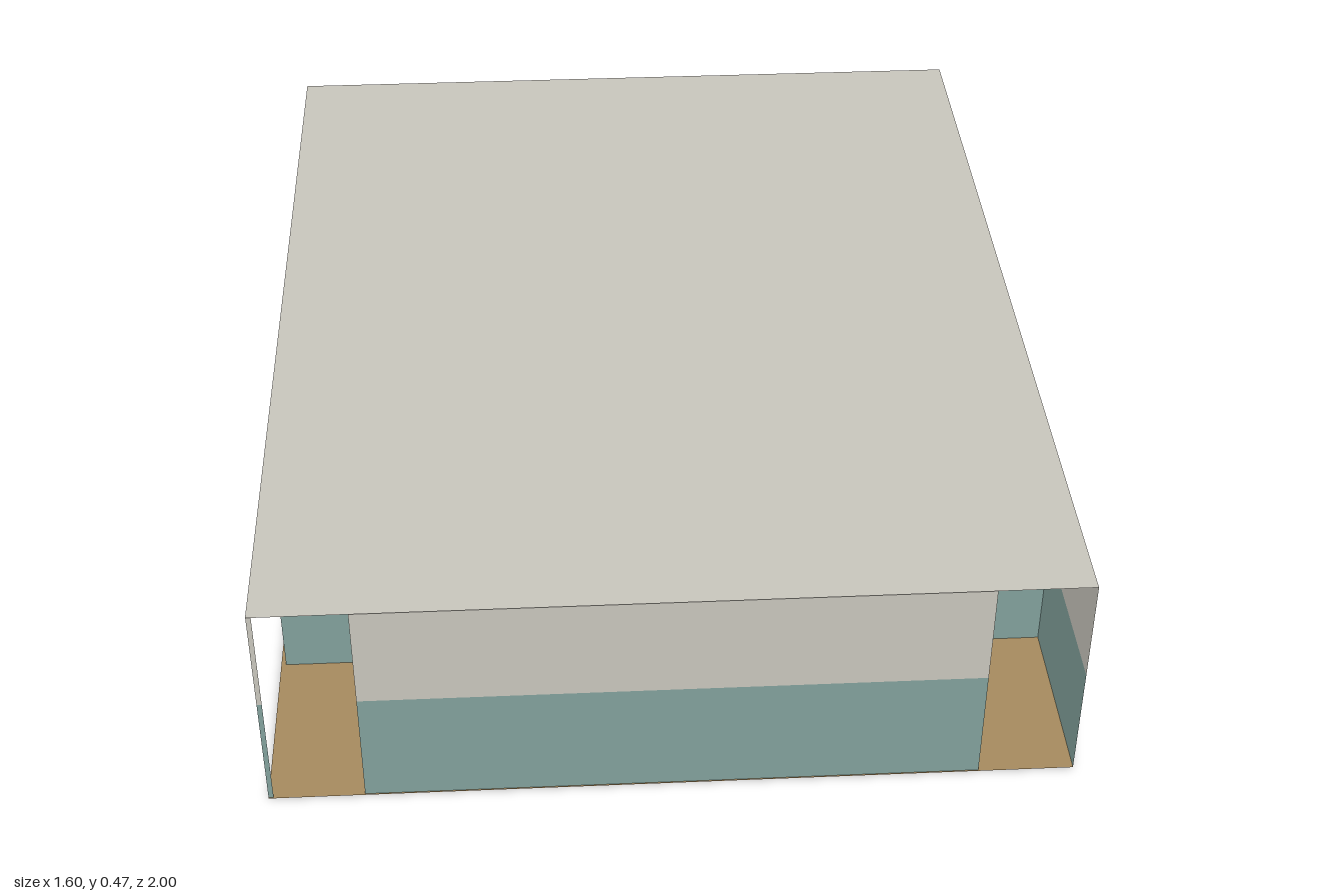
import * as THREE from 'three';

const H = 0.475; // ceiling height
const SPLIT = 0.25; // top of the painted wainscot

export function createModel() {
  const group = new THREE.Group();
  const mat = (name, color) =>
    new THREE.MeshStandardMaterial({ name, color, side: THREE.DoubleSide });
  const plaster = mat('warm grey plaster', 0xc8c5bc);
  const paint = mat('teal paint', 0x81a09b);
  const wood = mat('wooden floor', 0xa68a5e);

  // Horizontal sheet over the whole plan
  const slab = (name, y, material) => {
    const mesh = new THREE.Mesh(new THREE.PlaneGeometry(1.6, 2).rotateX(-Math.PI / 2), material);
    mesh.position.y = y;
    mesh.name = name;
    group.add(mesh);
  };

  // Vertical wall sheet between two plan points: painted below, plaster above
  const wall = (name, x0, z0, x1, z1) => {
    const part = new THREE.Group();
    part.name = name;
    const length = Math.hypot(x1 - x0, z1 - z0);
    for (const [label, y0, y1, material] of [
      ['Lower', 0, SPLIT, paint],
      ['Upper', SPLIT, H, plaster],
    ]) {
      const mesh = new THREE.Mesh(new THREE.PlaneGeometry(length, y1 - y0), material);
      mesh.position.y = (y0 + y1) / 2;
      mesh.name = name + label;
      part.add(mesh);
    }
    part.position.set((x0 + x1) / 2, 0, (z0 + z1) / 2);
    part.rotation.y = -Math.atan2(z1 - z0, x1 - x0);
    group.add(part);
  };

  slab('floor', 0, wood);
  slab('ceiling', H, plaster);

  // Right side wall, interrupted where the cross walls meet it
  for (const [z0, z1] of [[1, 0.615], [0.59, -0.787], [-0.812, -1]])
    wall('rightWall', 0.8, z0, 0.8, z1);

  // Front screen and the narrow corner post
  wall('frontScreen', -0.61, 0.997, 0.61, 0.997);
  wall('cornerPost', -0.8, 0.997, -0.79, 0.997);

  // Hollow cross walls, each made of two sheets
  for (const z of [0.615, 0.59]) wall('frontCrossWall', -0.79, z, 0.8, z);
  for (const z of [-0.787, -0.812]) wall('backCrossWall', -0.79, z, 0.8, z);

  // Left wall with the entrance opening behind it
  for (const x of [-0.61, -0.585]) wall('leftWall', x, 0.615, x, -0.41);

  // Divider of the back porch
  for (const x of [-0.412, -0.39]) wall('porchDivider', x, -0.812, x, -1);

  return group;
}
